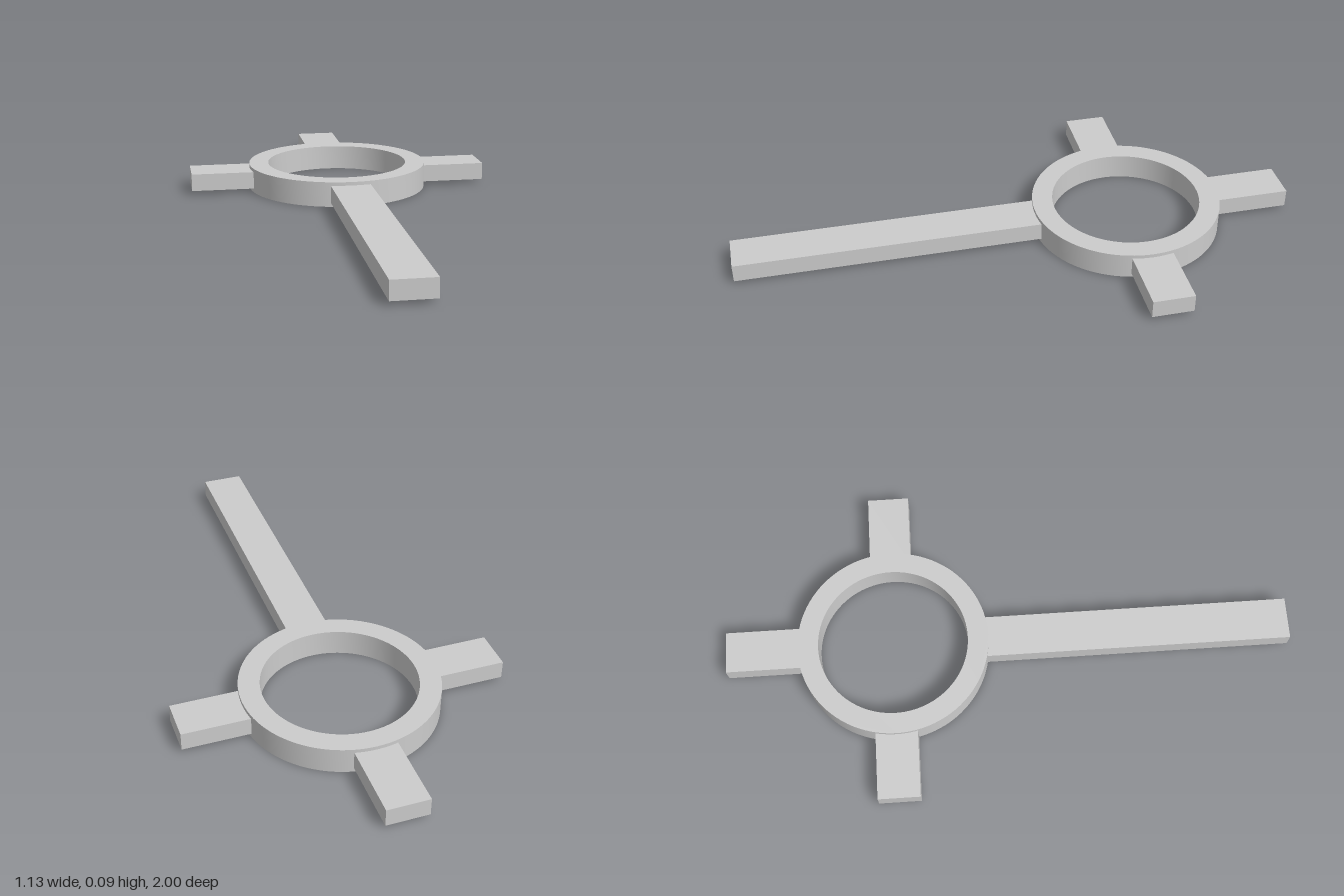
import * as THREE from 'three';
import { toCreasedNormals } from 'three/addons/utils/BufferGeometryUtils.js';

export function createModel() {
  const model = new THREE.Group();
  const material = new THREE.MeshStandardMaterial({ color: 0xcccccc });
  const centreZ = -0.408, outer = 0.338, inner = 0.265, height = 0.092;

  function add(name, geometry, x, y, z) {
    const mesh = new THREE.Mesh(geometry, material);
    mesh.name = name;
    mesh.position.set(x, y, z);
    model.add(mesh);
  }

  // Ring: annulus extruded upwards, with smooth walls and sharp rims
  const shape = new THREE.Shape().absarc(0, 0, outer, 0, Math.PI * 2);
  shape.holes.push(new THREE.Path().absarc(0, 0, inner, 0, Math.PI * 2, true));
  const ring = new THREE.ExtrudeGeometry(shape, { depth: height, bevelEnabled: false, curveSegments: 48 });
  ring.rotateX(-Math.PI / 2);
  add('ring', toCreasedNormals(ring, 0.5), 0, 0, centreZ);

  // Arms: flat bars whose inner ends are buried in the ring wall
  const width = 0.147, thickness = 0.064, armY = 0.047, root = 0.3;
  function addArm(name, dirX, dirZ, reach) {
    const length = reach - root, middle = (reach + root) / 2;
    const geometry = new THREE.BoxGeometry(dirX ? length : width, thickness, dirZ ? length : width);
    add(name, geometry, dirX * middle, armY, centreZ + dirZ * middle);
  }
  addArm('handle', 0, 1, 1 - centreZ);
  addArm('backArm', 0, -1, 1 + centreZ);
  addArm('leftArm', 1, 0, 0.563);
  addArm('rightArm', -1, 0, 0.563);

  return model;
}
